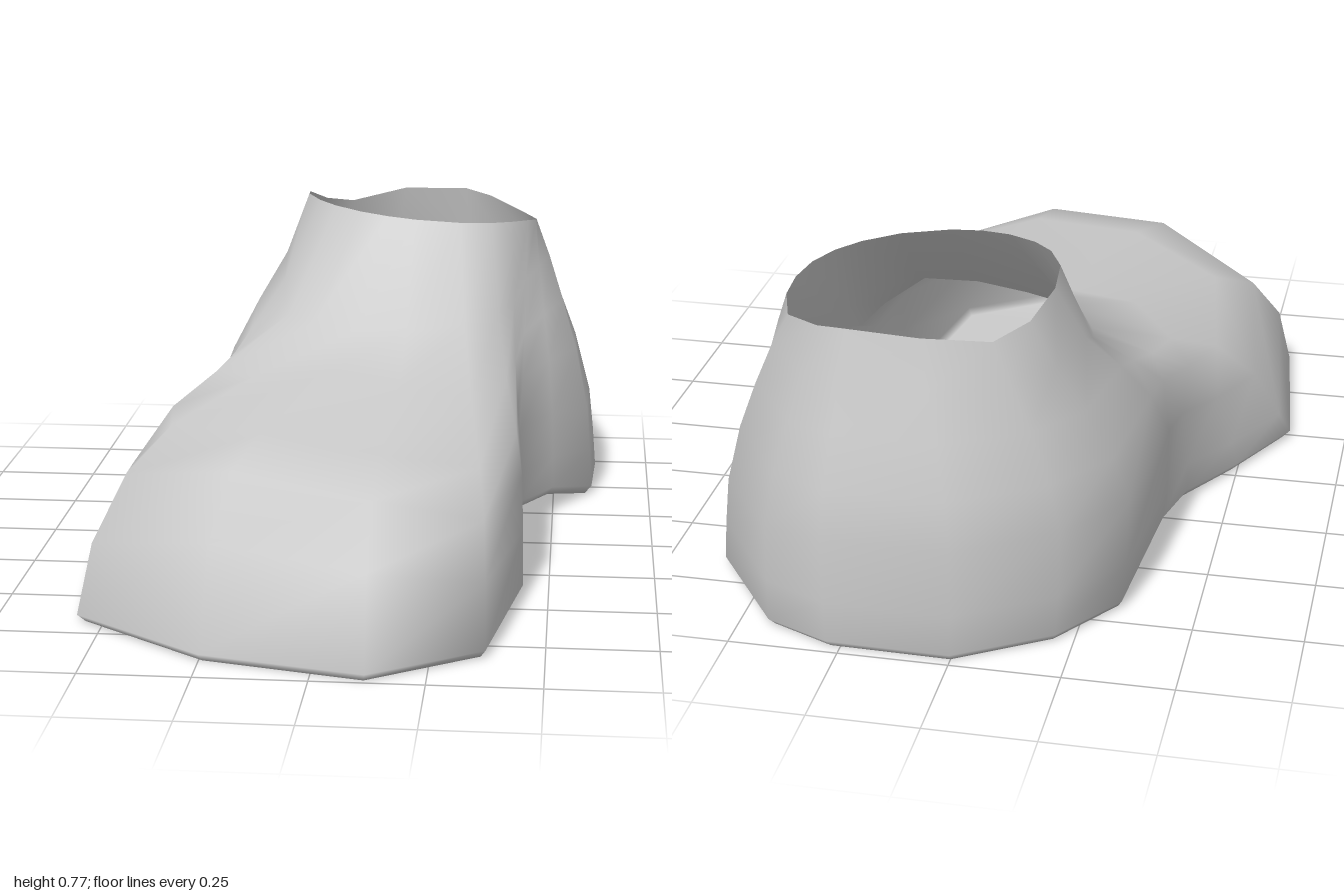
import * as THREE from 'three';

// Columns around the sole, from the toe tip over the left side to the heel and back:
// sole x, sole z, angle on the ankle rim (0 = front), position in PROFILES
const COLUMNS = [
  [0.12, 1, 0, 0.25], [0.37, 0.83, 22, 0.85], [0.44, 0.38, 40, 1], [0.42, 0.1, 54, 1.1],
  [0.42, -0.08, 68, 1.4], [0.5, -0.27, 82, 1.7], [0.6, -0.45, 96, 2], [0.61, -0.67, 118, 2],
  [0.43, -0.92, 145, 2.5], [0.28, -0.985, 160, 3], [0, -0.99, 192, 3], [-0.21, -0.86, 222, 3],
  [-0.33, -0.69, 242, 3.05], [-0.37, -0.35, 264, 3.15], [-0.4, -0.15, 284, 3.55],
  [-0.5, 0.03, 302, 3.85], [-0.61, 0.24, 316, 4], [-0.56, 0.68, 332, 4.55], [-0.25, 0.91, 346, 0],
];

// Wall profiles: fraction of the way from sole to rim, height
const PROFILES = [
  [[0.05, 0.25], [0.16, 0.375], [0.3, 0.415], [0.67, 0.445], [0.82, 0.51]], // toe
  [[0.02, 0.15], [0.07, 0.27], [0.23, 0.34], [0.53, 0.41], [0.8, 0.53]], // left of the foot
  [[0.04, 0.12], [0.1, 0.23], [0.3, 0.38], [0.53, 0.5], [0.77, 0.61]], // left of the heel
  [[-0.05, 0.12], [-0.08, 0.28], [0.1, 0.39], [0.4, 0.51], [0.72, 0.62]], // back of the heel
  [[0.05, 0.08], [0.16, 0.22], [0.32, 0.34], [0.5, 0.405], [0.8, 0.51]], // right of the foot
];

const { lerp, clamp, degToRad } = THREE.MathUtils;

// Raised arch under the midfoot, longer and further forward on the left
function archHeight(x, z) {
  const side = clamp((x + 0.37) / 0.79, 0, 1);
  const offset = (z - lerp(-0.3, -0.14, side)) / lerp(0.17, 0.24, side);
  return lerp(0.04, 0.068, side) * Math.max(0, 1 - offset * offset);
}

// Tilted oval opening, dipping at both back corners
function rimPoint(degrees) {
  const a = degToRad(degrees);
  const x = 0.135 + 0.305 * Math.sin(a);
  const z = -0.625 + 0.285 * Math.cos(a);
  const dip = (depth, at) => depth * Math.max(0, Math.cos(a - degToRad(at))) ** 6;
  return new THREE.Vector3(x, 0.75 - 0.09 * (x - 0.135) - dip(0.03, 112) - dip(0.06, 225), z);
}

// One column of the wall, from the slightly narrower underside up to the rim
function columnPoints([x, z, angle, profile]) {
  const rim = rimPoint(angle);
  const arch = archHeight(x, z);
  const from = PROFILES[Math.floor(profile)];
  const to = PROFILES[(Math.floor(profile) + 1) % PROFILES.length];
  const f = profile % 1;
  const points = [
    new THREE.Vector3(0.02 + (x - 0.02) * 0.97, 0.002 + arch, z * 0.985),
    new THREE.Vector3(x, 0.02 + arch, z),
  ];
  from.forEach(([t, y], i) => {
    const s = lerp(t, to[i][0], f);
    points.push(new THREE.Vector3(
      lerp(x, rim.x, s), lerp(y, to[i][1], f) + arch * 0.3, lerp(z, rim.z, s)));
  });
  points.push(rim);
  return points;
}

function shoeGeometry() {
  const columns = COLUMNS.map(columnPoints);
  const count = columns.length;
  const rows = columns[0].length;
  const positions = [];
  const index = [];
  const quad = (a, b, c, d) => index.push(a, b, c, a, c, d);

  // Upper, open at the ankle
  columns.forEach((column, i) => {
    const next = (i + 1) % count;
    column.forEach((p, j) => {
      positions.push(p.x, p.y, p.z);
      if (j === rows - 1) return;
      const a = i * rows + j;
      const b = next * rows + j;
      quad(a, b, b + 1, a + 1);
    });
  });

  // Sole, as strips between matching left and right columns
  index.push(0, (count - 1) * rows, rows);
  for (let i = 1; i < (count - 1) / 2; i++) {
    const left = i * rows;
    const right = (count - i) * rows;
    quad(left, right, right - rows, left + rows);
  }

  const geometry = new THREE.BufferGeometry();
  geometry.setAttribute('position', new THREE.Float32BufferAttribute(positions, 3));
  geometry.setIndex(index);
  geometry.computeVertexNormals();
  return geometry;
}

export function createModel() {
  const group = new THREE.Group();
  group.name = 'shoe';
  const material = new THREE.MeshStandardMaterial({ color: 0xcccccc, side: THREE.DoubleSide });
  const shell = new THREE.Mesh(shoeGeometry(), material);
  shell.name = 'upperAndSole';
  group.add(shell);
  return group;
}
